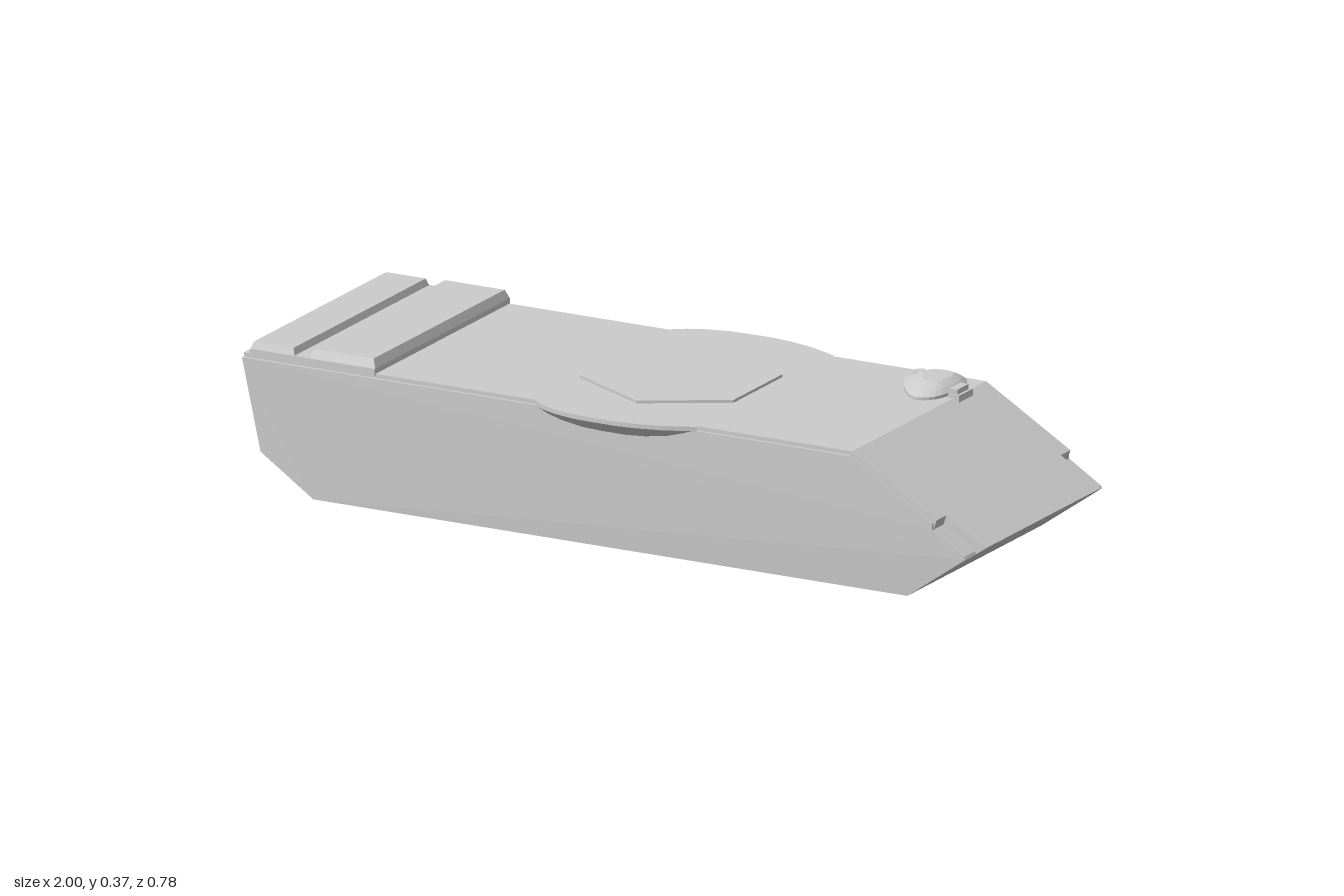
import * as THREE from 'three';

const grey = new THREE.MeshStandardMaterial({ color: 0xcccccc, flatShading: true, side: THREE.DoubleSide });
const DECK = 0.338;

function add(group, name, geometry, x = 0, y = 0, z = 0) {
  const mesh = new THREE.Mesh(geometry, grey);
  mesh.name = name;
  mesh.position.set(x, y, z);
  group.add(mesh);
  return mesh;
}

// Side profile (x, y) extruded across the hull from z0 to z1
function slab(profile, z0, z1) {
  const shape = new THREE.Shape(profile.map(([x, y]) => new THREE.Vector2(x, y)));
  return new THREE.ExtrudeGeometry(shape, { depth: z1 - z0, bevelEnabled: false }).translate(0, 0, z0);
}

// Skin between successive cross-sections, each a list of [x, y, z]
function loft(sections) {
  const pos = [];
  for (let i = 0; i + 1 < sections.length; i++) {
    const a = sections[i], b = sections[i + 1];
    for (let j = 0; j + 1 < a.length; j++) {
      pos.push(...a[j], ...b[j], ...b[j + 1], ...a[j], ...b[j + 1], ...a[j + 1]);
    }
  }
  const g = new THREE.BufferGeometry();
  g.setAttribute('position', new THREE.Float32BufferAttribute(pos, 3));
  g.computeVertexNormals();
  return g;
}

// Box whose top is inset on all four sides
function chamferedBox(x0, x1, y0, y1, halfZ, inset) {
  const g = new THREE.BoxGeometry(x1 - x0, y1 - y0, halfZ * 2);
  const p = g.attributes.position;
  for (let i = 0; i < p.count; i++) {
    if (p.getY(i) > 0) {
      p.setX(i, p.getX(i) - Math.sign(p.getX(i)) * inset);
      p.setZ(i, p.getZ(i) - Math.sign(p.getZ(i)) * inset);
    }
  }
  g.translate((x0 + x1) / 2, (y0 + y1) / 2, 0);
  g.computeVertexNormals();
  return g;
}

function buildHull(group) {
  const rear = [[-0.95, 0.1], [-0.81, 0], [0.81, 0]];
  const notch = [[0.972, 0.115], [0.968, 0.122], [0.882, 0.176]];
  const centre = [[-1, DECK], ...rear, [1, 0.135], [0.66, DECK]];
  const shoulder = [[-1, DECK], ...rear, ...notch, [0.89, 0.2], [0.66, DECK]];
  const edge = [[-1, DECK - 0.01], ...rear, ...notch, [0.882, 0.192], [0.655, DECK - 0.01]];
  add(group, 'hullCentre', slab(centre, -0.28, 0.28));
  for (const s of [1, -1]) {
    const side = s > 0 ? 'Front' : 'Back';
    const band = (profile, a, b) => slab(profile, Math.min(s * a, s * b), Math.max(s * a, s * b));
    add(group, 'hullShoulder' + side, band(shoulder, 0.28, 0.328));
    // Outer side plate leans in towards the floor
    const plate = band(edge, 0.328, 0.336);
    const p = plate.attributes.position;
    for (let i = 0; i < p.count; i++) {
      if (Math.abs(p.getZ(i)) > 0.332) p.setZ(i, s * (0.328 + 0.008 * Math.min(1, p.getY(i) / 0.12)));
    }
    plate.computeVertexNormals();
    add(group, 'sidePlate' + side, plate);
  }
}

// Flared edge of the turret ring on each side
function buildRingFlares(group) {
  const stations = [ // x, outer z, lower y
    [-0.2, 0.334, 0.33], [-0.17, 0.355, 0.312], [-0.13, 0.373, 0.3], [-0.07, 0.387, 0.291], [-0.02, 0.39, 0.289],
    [0.05, 0.39, 0.289], [0.1, 0.384, 0.293], [0.16, 0.368, 0.303], [0.2, 0.352, 0.315], [0.24, 0.334, 0.33],
  ];
  for (const s of [1, -1]) {
    const rows = stations.map(([x, z, y]) => [
      [x, DECK, s * 0.325], [x, DECK, s * z], [x, 0.327, s * z], [x, y, s * 0.334],
    ]);
    add(group, s > 0 ? 'ringFlareFront' : 'ringFlareBack', loft(rows));
  }
}

function buildTurretPlate(group) {
  const pts = [[-0.2, -0.12], [0.02, -0.236], [0.22, -0.12], [0.22, 0.12], [0.02, 0.236], [-0.2, 0.12]];
  const shape = new THREE.Shape(pts.map(([x, z]) => new THREE.Vector2(x, -z)));
  const g = new THREE.ExtrudeGeometry(shape, { depth: 0.007, bevelEnabled: false }).rotateX(-Math.PI / 2);
  add(group, 'turretPlate', g, 0, DECK, 0);
}

function buildEngineDeck(group) {
  add(group, 'engineDeckBase', chamferedBox(-0.98, -0.64, DECK - 0.005, 0.351, 0.332, 0));
  add(group, 'engineCoverRear', chamferedBox(-0.98, -0.86, 0.351, 0.368, 0.33, 0.006));
  add(group, 'engineCoverFront', chamferedBox(-0.82, -0.64, 0.351, 0.373, 0.33, 0.009));
}

// Domed driver hatch with its periscope and hinge
function buildHatch(group) {
  const outline = [[0.49, -0.24], [0.505, -0.295], [0.55, -0.313], [0.61, -0.31], [0.638, -0.27],
    [0.642, -0.2], [0.625, -0.135], [0.585, -0.112], [0.54, -0.15], [0.51, -0.195]];
  const curve = new THREE.CatmullRomCurve3(outline.map(([x, z]) => new THREE.Vector3(x, 0, z)), true);
  const loop = curve.getPoints(32);
  const cx = 0.585, cz = -0.24;
  const rings = [[1, DECK - 0.004], [1, 0.345], [0.8, 0.356], [0.5, 0.367], [0, 0.368]];
  const rows = rings.map(([k, y]) => loop.map((p) => [cx + (p.x - cx) * k, y, cz + (p.z - cz) * k]));
  add(group, 'driverHatch', loft(rows));
  add(group, 'hatchHinge', new THREE.CylinderGeometry(0.016, 0.018, 0.022, 12), 0.512, 0.347, -0.272);
  add(group, 'periscopeFoot', new THREE.BoxGeometry(0.03, 0.018, 0.07), 0.66, 0.337, -0.203);
  add(group, 'periscope', new THREE.BoxGeometry(0.022, 0.024, 0.055), 0.657, 0.347, -0.2);
}

export function createModel() {
  const group = new THREE.Group();
  group.name = 'armouredHull';
  buildHull(group);
  buildRingFlares(group);
  buildTurretPlate(group);
  buildEngineDeck(group);
  buildHatch(group);
  // Round housing under the stern
  const housing = new THREE.CylinderGeometry(0.1, 0.1, 0.09, 24).rotateZ(Math.PI / 2);
  add(group, 'sternHousing', housing, -0.89, 0.143, 0);
  return group;
}
